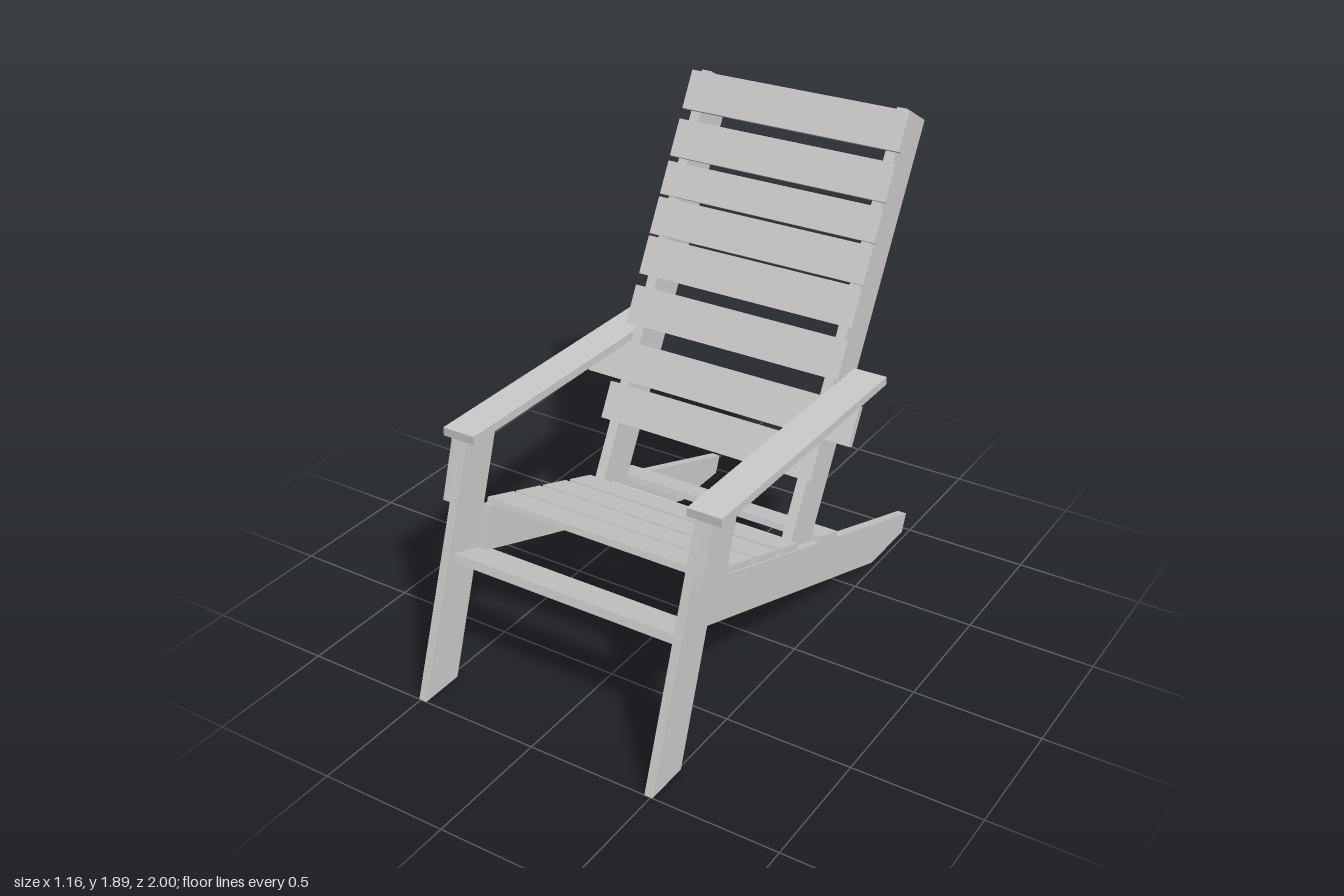
import * as THREE from 'three';

const material = new THREE.MeshStandardMaterial({ color: 0xcccccc, flatShading: true });

export function createModel() {
  const chair = new THREE.Group();
  chair.name = 'slattedLoungeChair';

  // A board with a side outline of [z, y] points, running from x0 to x1
  function board(name, outline, x0, x1) {
    const shape = new THREE.Shape(outline.map(([z, y]) => new THREE.Vector2(z, y)));
    const geo = new THREE.ExtrudeGeometry(shape, { depth: x1 - x0, bevelEnabled: false });
    geo.rotateY(-Math.PI / 2);
    geo.translate(x1, 0, 0);
    const mesh = new THREE.Mesh(geo, material);
    mesh.name = name;
    chair.add(mesh);
  }

  // The same board on both sides
  function pair(name, outline, x0, x1) {
    board(name + 'Left', outline, x0, x1);
    board(name + 'Right', outline, -x1, -x0);
  }

  // A slat lying on the line from a to b, with its upper face offset by n
  function slat(name, a, b, n, halfWidth) {
    board(name, [a, b, [b[0] + n[0], b[1] + n[1]], [a[0] + n[0], a[1] + n[1]]], -halfWidth, halfWidth);
  }

  // Side frames
  pair('seatRail', [[0.61, 0.645], [0.66, 0.48], [-0.69, 0], [-0.97, 0], [-1, 0.075]], 0.44, 0.478);
  pair('frontLeg', [[1, 0], [0.82, 0], [0.51, 0.93], [0.68, 0.93]], 0.475, 0.508);
  pair('backPost', [[-0.04, 0.42], [-0.2, 0.35], [-1, 1.8], [-0.84, 1.89]], 0.402, 0.443);
  pair('armBracket', [[0.75, 0.71], [0.6, 0.645], [0.51, 0.93], [0.68, 0.93]], 0.508, 0.542);
  pair('armrest', [[0.68, 0.93], [-0.51, 0.93], [-0.51, 0.963], [0.68, 0.963]], 0.442, 0.578);

  // Back slats: lower and upper heights; the second one also carries the armrests
  const backRows = [[0.645, 0.775], [0.79, 0.925], [0.985, 1.12], [1.16, 1.295],
    [1.303, 1.433], [1.443, 1.56], [1.578, 1.708], [1.745, 1.88]];
  const onPost = (y) => [-0.04 - (y - 0.42) * 0.544, y];
  backRows.forEach(([y0, y1], i) => {
    slat(i === 1 ? 'armSupportSlat' : 'backSlat', onPost(y0), onPost(y1), [0.027, 0.0145], i === 1 ? 0.58 : 0.468);
  });

  // Seat slats along the top of the rails, the last one behind the back posts
  const onRail = (z) => [z, 0.645 + (z - 0.61) * 0.354];
  const seatRows = [[0.595, 0.445], [0.43, 0.285], [0.265, 0.12], [0.09, -0.045], [-0.21, -0.355]];
  seatRows.forEach(([z0, z1], i) => {
    slat(i === 4 ? 'rearSlat' : 'seatSlat', onRail(z0), onRail(z1), [-0.008, 0.024], i === 4 ? 0.478 : 0.47);
  });

  // Cross pieces under the seat
  board('frontStretcher', [[0.8, 0.497], [0.63, 0.437], [0.62, 0.468], [0.79, 0.528]], -0.475, 0.475);
  board('backStretcher', [[-0.075, 0.4], [-0.11, 0.4], [-0.11, 0.32], [-0.075, 0.32]], -0.402, 0.402);
  pair('cornerBlock', [[-0.11, 0.2], [-0.27, 0.145], [-0.31, 0.25], [-0.15, 0.31]], 0.28, 0.44);

  return chair;
}
